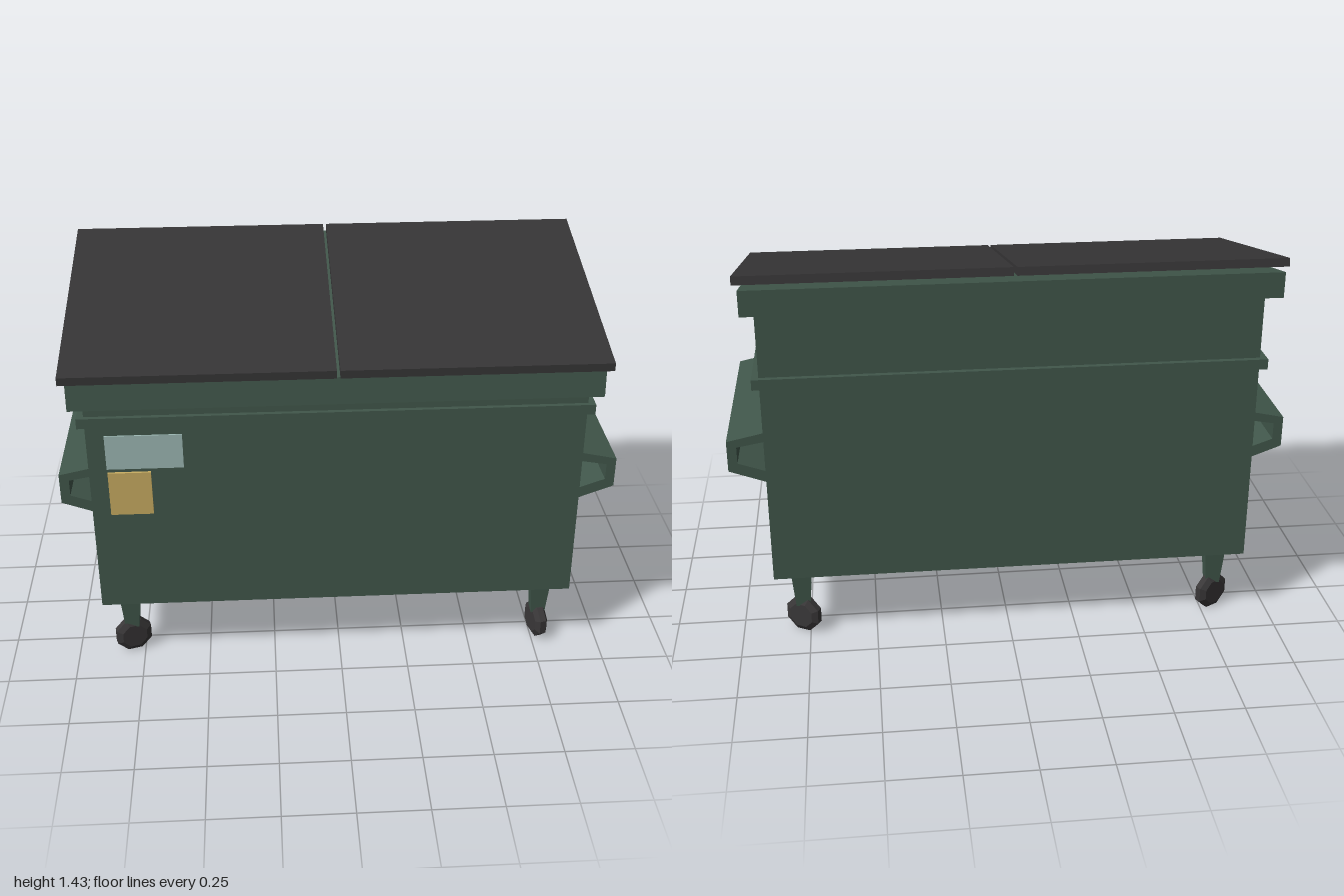
import * as THREE from 'three';

const mat = (name, color, flat = true) => {
  const m = new THREE.MeshStandardMaterial({ color, flatShading: flat });
  m.name = name;
  return m;
};

const shapeOf = (pts) => new THREE.Shape(pts.map(([a, b]) => new THREE.Vector2(a, b)));

// Extrudes a (z, y) side profile along x, from x0 to x1
function sideExtrude(pts, x0, x1) {
  const geo = new THREE.ExtrudeGeometry(shapeOf(pts), { depth: x1 - x0, bevelEnabled: false });
  return geo.rotateY(-Math.PI / 2).translate(x1, 0, 0);
}

// Box given by its limits
function boxBetween(x0, x1, y0, y1, z0, z1) {
  return new THREE.BoxGeometry(x1 - x0, y1 - y0, z1 - z0)
    .translate((x0 + x1) / 2, (y0 + y1) / 2, (z0 + z1) / 2);
}

export function createModel() {
  const green = mat('green steel', 0x41574b);
  const lidBlack = mat('black lid plastic', 0x363536);
  const rubber = mat('wheel rubber', 0x393738);
  const paleBlue = mat('pale blue label', 0x9db8b4);
  const yellow = mat('yellow label', 0xc9ad62);

  const group = new THREE.Group();
  group.name = 'dumpster';
  const add = (name, geo, material, parent = group) => {
    const mesh = new THREE.Mesh(geo, material);
    mesh.name = name;
    parent.add(mesh);
    return mesh;
  };

  // Container with a sloping top
  add('body', sideExtrude([[0.397, 0.262], [0.397, 1.19], [-0.4, 1.36], [-0.4, 0.262]], -0.89, 0.87), green);

  // Reinforcing band around the container
  add('band', boxBetween(-0.915, 0.895, 1.022, 1.06, -0.42, 0.413), green);

  // Sloping rim under the lids
  add('rim', sideExtrude([
    [0.432, 1.205], [0.441, 1.106], [0.39, 1.108], [-0.4, 1.303], [-0.46, 1.303], [-0.46, 1.395],
  ], -0.937, 0.914), green);

  // Two lid halves
  const lidProfile = [[0.46, 1.214], [0.46, 1.243], [-0.428, 1.435], [-0.434, 1.406]];
  add('rightLid', sideExtrude(lidProfile, -0.958, -0.018), lidBlack);
  add('leftLid', sideExtrude(lidProfile, -0.006, 0.934), lidBlack);

  // Hollow lifting pockets on both ends
  for (const s of [1, -1]) {
    const profile = [
      [0.865, 0.847], [1, 0.818], [1, 0.704], [0.865, 0.654],
      [0.865, 0.697], [0.966, 0.733], [0.966, 0.795], [0.865, 0.813],
    ].map(([x, y]) => [s * x, y]);
    const geo = new THREE.ExtrudeGeometry(shapeOf(profile), { depth: 0.765, bevelEnabled: false });
    add(s > 0 ? 'leftLiftPocket' : 'rightLiftPocket', geo.translate(0, 0, -0.388), green);
  }

  // Labels on the front
  add('blueLabel', boxBetween(-0.826, -0.555, 0.85, 0.983, 0.396, 0.402), paleBlue);
  add('yellowLabel', boxBetween(-0.824, -0.672, 0.664, 0.836, 0.397, 0.406), yellow);

  // Castors: tapered legs and eight-sided wheels, each swivelled differently
  const legGeo = new THREE.CylinderGeometry(0.056, 0.037, 0.16, 4, 1)
    .rotateY(Math.PI / 4).scale(1, 1, 0.82).translate(0, 0.19, 0);
  const wheelProfile = [[0, -0.025], [0.05, -0.025], [0.072, -0.012], [0.072, 0.012], [0.05, 0.025], [0, 0.025]]
    .map(([r, y]) => new THREE.Vector2(r, y));
  const wheelGeo = new THREE.LatheGeometry(wheelProfile, 8)
    .rotateY(Math.PI / 8).rotateX(Math.PI / 2).translate(0, 0.0675, 0);
  const castors = [
    ['frontRight', -0.793, 0.314, 0.3],
    ['frontLeft', 0.772, 0.314, 1.83],
    ['backRight', -0.793, -0.324, 0.52],
    ['backLeft', 0.772, -0.324, -0.52],
  ];
  for (const [name, x, z, yaw] of castors) {
    const castor = new THREE.Group();
    castor.name = name + 'Castor';
    castor.position.set(x, 0, z);
    add('leg', legGeo, green, castor);
    add('wheel', wheelGeo, rubber, castor).rotation.y = yaw;
    group.add(castor);
  }

  return group;
}
